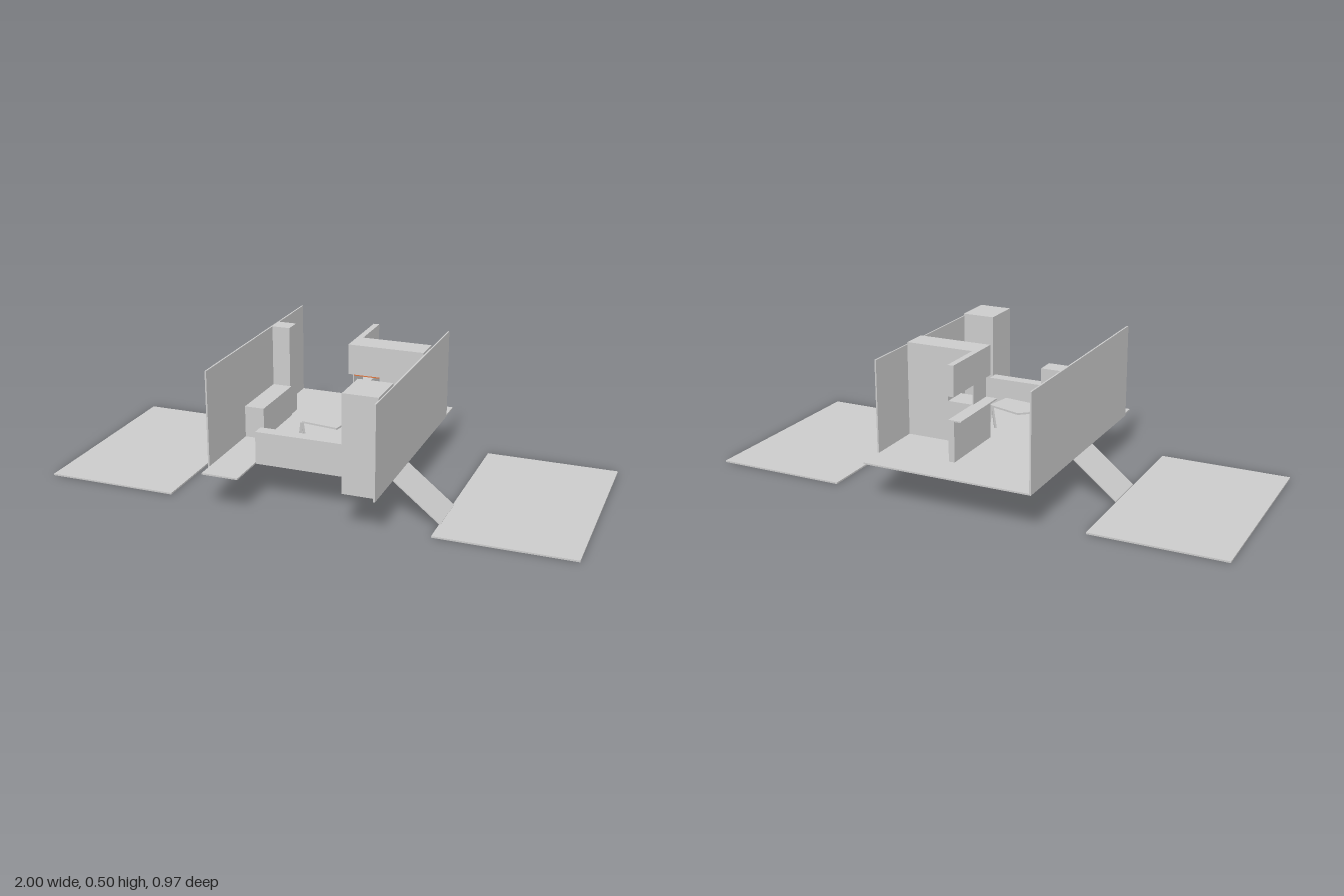
import * as THREE from 'three';

const grey = new THREE.MeshStandardMaterial({ color: 0xcccccc, flatShading: true });
const orange = new THREE.MeshStandardMaterial({ color: 0xe0733a, flatShading: true });

export function createModel() {
  const model = new THREE.Group();

  const add = (name, geometry, material = grey) => {
    const mesh = new THREE.Mesh(geometry, material);
    mesh.name = name;
    model.add(mesh);
    return mesh;
  };

  // Box given by its extents on each axis
  const box = (name, [x0, x1], [y0, y1], [z0, z1], material) => {
    const g = new THREE.BoxGeometry(x1 - x0, y1 - y0, z1 - z0);
    g.translate((x0 + x1) / 2, (y0 + y1) / 2, (z0 + z1) / 2);
    return add(name, g, material);
  };

  // Outline in x and y, extruded along z
  const slab = (name, points, z0, z1) => {
    const shape = new THREE.Shape(points.map(p => new THREE.Vector2(...p)));
    const g = new THREE.ExtrudeGeometry(shape, { depth: z1 - z0, bevelEnabled: false });
    g.translate(0, 0, z0);
    return add(name, g);
  };

  // Outline in x and z, extruded upwards
  const plate = (name, points, y0, y1) => {
    const shape = new THREE.Shape(points.map(([x, z]) => new THREE.Vector2(x, -z)));
    const g = new THREE.ExtrudeGeometry(shape, { depth: y1 - y0, bevelEnabled: false });
    g.rotateX(-Math.PI / 2);
    g.translate(0, y0, 0);
    return add(name, g);
  };

  const floorY = 0.147, top = 0.505;

  // Ground panels and the ramps up to the floor
  for (const side of [-1, 1]) {
    const edge = side < 0 ? [-1, -0.5] : [0.492, 1];
    box('groundPanel', edge, [0, 0.006], [-0.4, 0.383]);
    const zs = side < 0 ? [-0.113, 0.062] : [0.113, 0.287];
    slab('ramp', [[side * 0.497, 0.002], [side * 0.497, 0.007],
      [side * 0.322, floorY], [side * 0.322, 0.142]], ...zs);
  }

  // Raised floor with its two front extensions
  plate('floor', [[-0.328, -0.485], [0.318, -0.485], [0.318, 0.445], [0.19, 0.445],
    [0.19, 0.31], [-0.19, 0.31], [-0.19, 0.467], [-0.328, 0.467]], 0.141, floorY);

  // Long side walls
  box('leftWall', [0.317, 0.323], [floorY, 0.496], [-0.38, 0.483]);
  box('rightWall', [-0.334, -0.328], [0.141, top], [-0.485, 0.403]);

  // Furniture along the right wall and the front
  box('column', [-0.328, -0.257], [floorY, top], [-0.24, -0.173]);
  box('lowCabinet', [-0.328, -0.252], [floorY, 0.268], [-0.173, 0.095]);
  box('frontCounter', [-0.19, 0.19], [floorY, 0.264], [0.262, 0.31]);
  box('frontBlock', [0.19, 0.319], [floorY, top], [0.29, 0.445]);

  // Corner room: thick wall with a hatch, thin wall with a long window
  box('hatchBase', [0.05, 0.317], [floorY, 0.302], [-0.16, -0.06]);
  box('hatchPier', [0.15, 0.317], [0.302, 0.39], [-0.16, -0.06]);
  box('hatchHeader', [0.05, 0.317], [0.39, top], [-0.16, -0.06]);
  box('hatchTrim', [0.05, 0.15], [0.386, 0.39], [-0.16, -0.06], orange);
  box('windowBase', [0.027, 0.05], [floorY, 0.299], [-0.345, -0.06]);
  box('windowHeader', [0.027, 0.05], [0.39, top], [-0.345, -0.06]);
  box('windowSill', [0, 0.05], [0.299, 0.304], [-0.345, -0.06]);
  box('windowPost', [0.045, 0.05], [0.304, 0.39], [-0.16, -0.06]);

  // Five-sided table on two A-shaped trestles
  plate('tableTop', [[-0.112, 0.02], [-0.065, -0.02], [0.07, 0.022],
    [0.05, 0.122], [-0.095, 0.102]], 0.236, 0.243);
  for (const [x, z] of [[0.066, 0.03], [-0.096, 0.098]]) {
    for (const s of [-1, 1]) {
      const leg = slab('trestleLeg', [[s * 0.018, floorY], [s * 0.01, floorY],
        [-s * 0.003, 0.238], [s * 0.005, 0.238]], -0.004, 0.004);
      leg.position.set(x, 0, z);
      leg.rotation.y = Math.PI / 4;
    }
  }
  return model;
}
